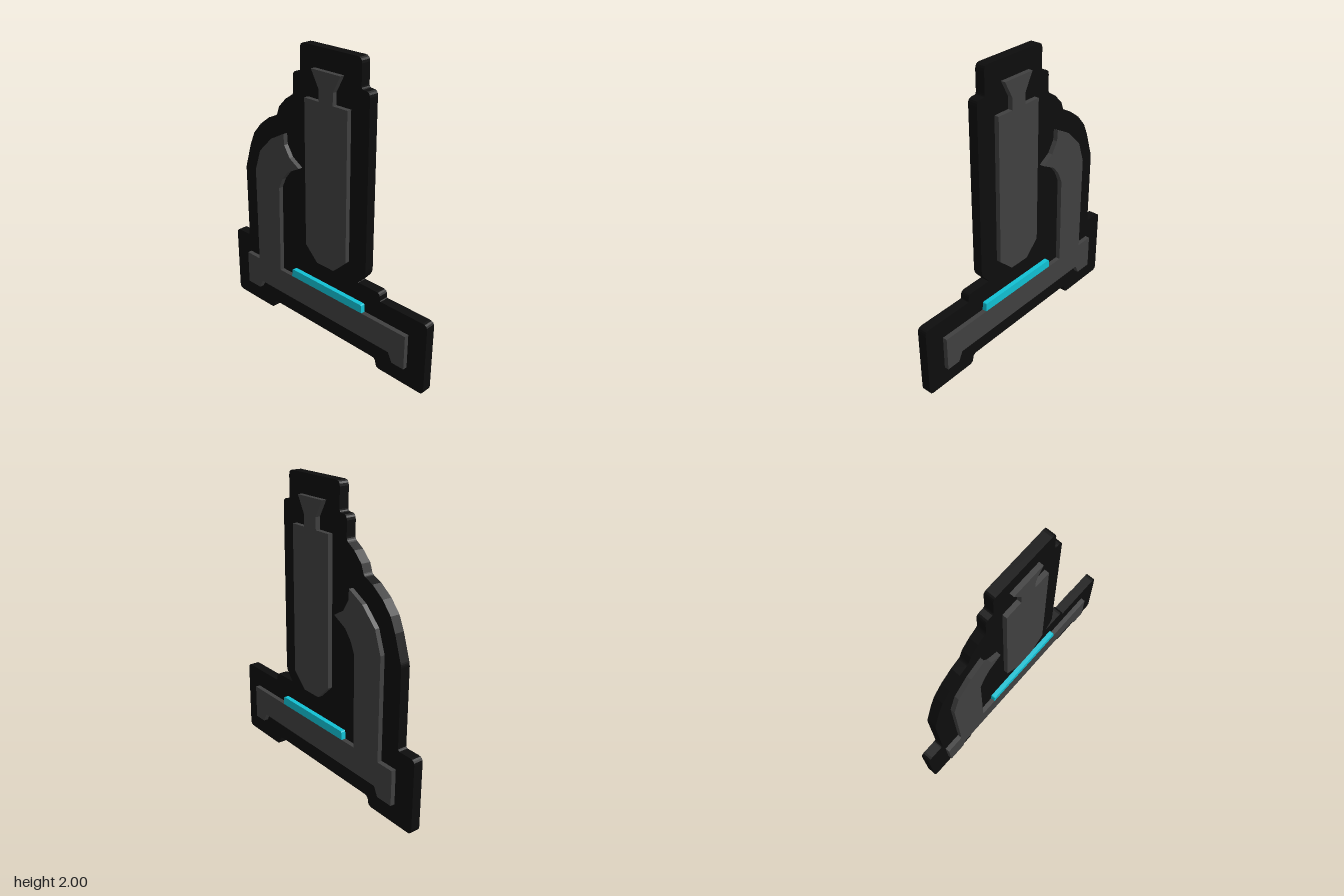
import * as THREE from 'three';

const black = new THREE.MeshStandardMaterial({ name: 'black plate', color: 0x0d0d0d });
const grey = new THREE.MeshStandardMaterial({ name: 'dark grey', color: 0x404040 });
const cyan = new THREE.MeshStandardMaterial({ name: 'cyan', color: 0x11c1d4 });

// Closed outline from [x, y, cornerRadius] points; corners with a radius are rounded
function outline(points) {
  const shape = new THREE.Shape();
  const n = points.length;
  points.forEach(([x, y, r = 0], i) => {
    const toward = ([px, py]) => {
      const d = Math.hypot(px - x, py - y);
      return [x + (px - x) * r / d, y + (py - y) * r / d];
    };
    const a = toward(points[(i + n - 1) % n]);
    const b = toward(points[(i + 1) % n]);
    if (i === 0) shape.moveTo(...a); else shape.lineTo(...a);
    if (r > 0) shape.quadraticCurveTo(x, y, ...b);
  });
  shape.closePath();
  return shape;
}

// Flat slab centred on z = 0
function slab(name, points, depth, material) {
  const geometry = new THREE.ExtrudeGeometry(outline(points), { depth, bevelEnabled: false, curveSegments: 4 });
  geometry.translate(0, 0, -depth / 2);
  const mesh = new THREE.Mesh(geometry, material);
  mesh.name = name;
  return mesh;
}

export function createModel() {
  const model = new THREE.Group();
  model.name = 'microscopeEmblem';
  const R = 0.035;

  // Backing plate that follows the silhouette with a margin
  model.add(slab('backingPlate', [
    [-0.885, 0, R], [-0.49, 0, R], [-0.49, 0.065, R], [0.49, 0.065, R], [0.49, 0, R], [0.882, 0, R],
    [0.882, 0.505, R], [0.51, 0.505, 0.01], [0.51, 0.562, R], [0.32, 0.562, 0.01],
    [0.385, 0.635, R], [0.385, 1.815, R], [0.32, 1.815, 0.02], [0.32, 2, R],
    [-0.183, 2, R], [-0.183, 1.815, 0.02], [-0.25, 1.815, R], [-0.25, 1.665, 0.02],
    [-0.32, 1.62], [-0.385, 1.555], [-0.41, 1.49, 0.015], [-0.485, 1.457], [-0.575, 1.39],
    [-0.645, 1.31], [-0.686, 1.22], [-0.745, 1.04, 0.02], [-0.745, 0.505, 0.02], [-0.885, 0.505, R],
  ], 0.066, black));

  // Base with two feet and the curved arm, in one piece
  model.add(slab('baseAndArm', [
    [-0.733, 0.375], [-0.733, 0.135], [-0.61, 0.135], [-0.58, 0.198], [0.617, 0.198], [0.648, 0.135],
    [0.745, 0.135], [0.745, 0.375], [-0.378, 0.375], [-0.37, 1.0], [-0.336, 1.075], [-0.283, 1.14],
    [-0.177, 1.195], [-0.262, 1.245], [-0.31, 1.32], [-0.315, 1.395], [-0.437, 1.33],
    [-0.553, 1.215], [-0.605, 1.065], [-0.605, 0.375],
  ], 0.13, grey));

  // Tube with tapered objective, neck and flared eyepiece
  model.add(slab('tube', [
    [-0.117, 1.68], [-0.117, 0.68], [-0.013, 0.58], [0.135, 0.58], [0.243, 0.68], [0.243, 1.68],
    [0.125, 1.68], [0.125, 1.76], [0.185, 1.87], [-0.057, 1.87], [0.005, 1.76], [0.005, 1.68],
  ], 0.13, grey));

  // Specimen slide on the base
  model.add(slab('slide', [
    [-0.26, 0.375], [0.387, 0.375], [0.382, 0.432, 0.01], [-0.255, 0.432, 0.01],
  ], 0.13, cyan));

  return model;
}
